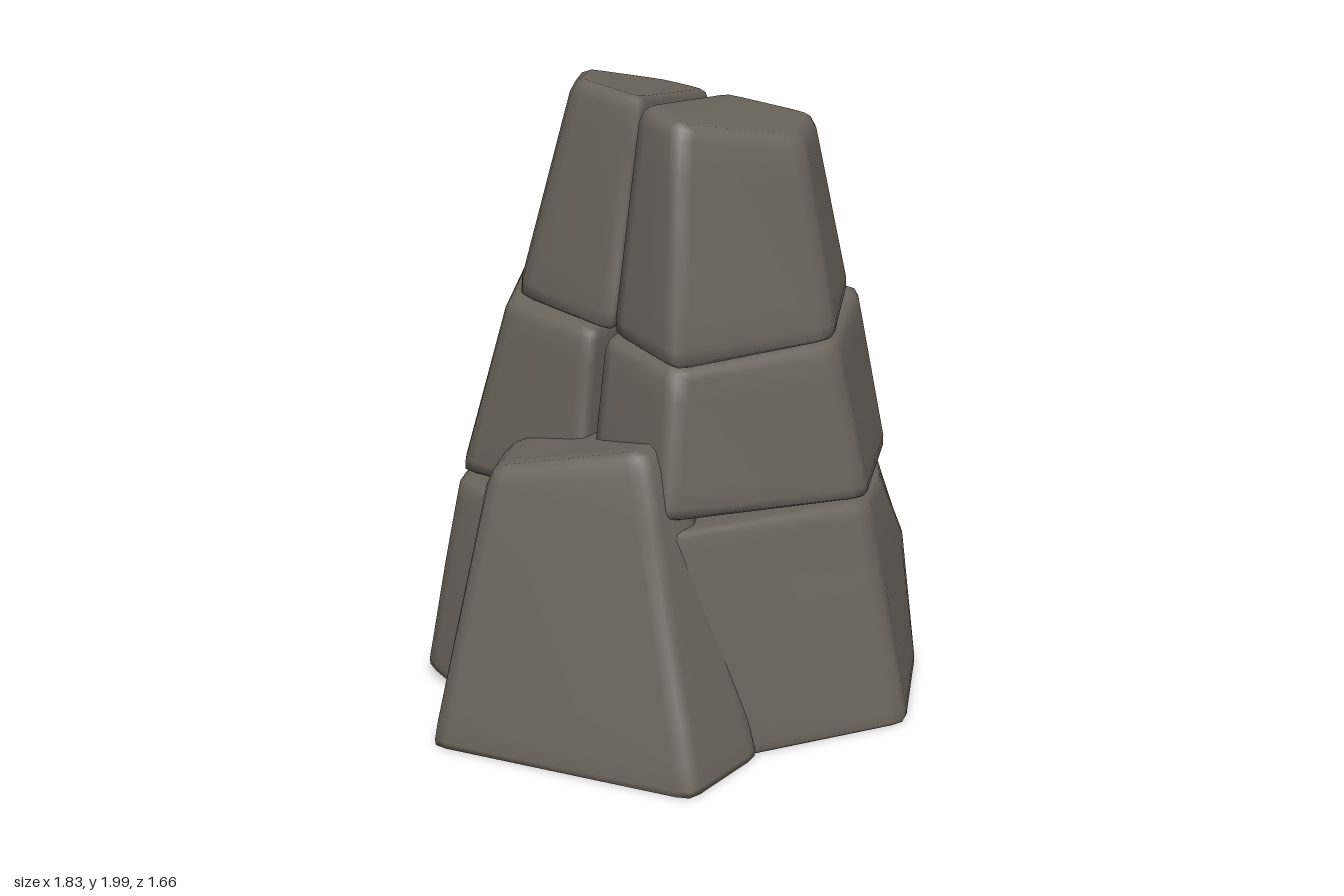
import * as THREE from 'three';

const stone = new THREE.MeshStandardMaterial({ color: 0x6b645b });
stone.name = 'grey brown stone';

const V = (p) => new THREE.Vector3(...p);

// Round every corner of a loop: two points on its edges and one just inside the tip
function roundLoop(loop, radius) {
  return loop.flatMap((p, i) => {
    const toward = (q) => p.clone().lerp(q, Math.min(0.3, radius / p.distanceTo(q)));
    const a = toward(loop[(i + loop.length - 1) % loop.length]);
    const b = toward(loop[(i + 1) % loop.length]);
    const tip = a.clone().add(b).multiplyScalar(0.5).lerp(p, 0.6);
    return [a, tip, b];
  });
}

const centreOf = (loop) =>
  loop.reduce((s, p) => s.add(p), new THREE.Vector3()).divideScalar(loop.length);

// Draw a loop in towards its centre by a distance
function inset(loop, d) {
  const c = centreOf(loop);
  return loop.map((p) => p.clone().lerp(c, d / p.distanceTo(c)));
}

// Soft-edged boulder through corner loops listed from bottom to top
function boulder(name, sections, bottomBevel = 0.03) {
  const loops = sections.map((s) => roundLoop(s.map(V), 0.05));
  const last = loops.length - 1;
  const mix = (a, b, t) => a.map((p, i) => p.clone().lerp(b[i], t));
  const low = (t) => mix(loops[0], loops[1], t);
  const high = (t) => mix(loops[last], loops[last - 1], t);
  const k = bottomBevel;
  const rows = [
    inset(low(0), k * 3), inset(low(0), k), inset(low(0.02), k * 0.3), low(0.08), low(0.2),
    ...loops.slice(1, last),
    high(0.2), high(0.07), inset(high(0.02), 0.012), inset(high(0), 0.035), inset(high(0), 0.1),
  ];

  const n = rows[0].length;
  const points = rows.flat();
  const index = [];
  for (let j = 0; j < rows.length - 1; j++) {
    for (let i = 0; i < n; i++) {
      const a = j * n + i, b = j * n + (i + 1) % n;
      index.push(a, a + n, b + n, a, b + n, b);
    }
  }
  // Closing caps
  const bottom = points.push(centreOf(rows[0])) - 1;
  const top = points.push(centreOf(rows[rows.length - 1])) - 1;
  const start = (rows.length - 1) * n;
  for (let i = 0; i < n; i++) {
    const next = (i + 1) % n;
    index.push(bottom, i, next, top, start + next, start + i);
  }
  const geometry = new THREE.BufferGeometry().setFromPoints(points);
  geometry.setIndex(index);
  geometry.computeVertexNormals();
  const mesh = new THREE.Mesh(geometry, stone);
  mesh.name = name;
  return mesh;
}

export function createModel() {
  const group = new THREE.Group();
  group.name = 'rockStack';
  group.add(
    // Bottom tier
    boulder('lowerRightBoulder', [
      [[-0.93, 0.07, -0.37], [-0.5, 0.04, -0.81], [-0.03, 0, -0.76], [-0.03, 0, 0.4], [-0.4, 0, 0.5], [-0.61, 0.03, 0.41]],
      [[-0.82, 0.45, -0.33], [-0.31, 0.45, -0.84], [-0.03, 0.42, -0.78], [-0.03, 0.4, 0.42], [-0.33, 0.4, 0.46], [-0.57, 0.4, 0.35]],
      [[-0.76, 0.66, -0.3], [-0.27, 0.66, -0.74], [-0.03, 0.66, -0.68], [-0.03, 0.69, 0.4], [-0.3, 0.68, 0.38], [-0.54, 0.67, 0.3]],
    ], 0.02),
    boulder('lowerLeftBoulder', [
      [[0, 0, -0.73], [0.55, 0, -0.69], [0.75, 0, -0.53], [0.93, 0, -0.05], [0.56, 0, 0.45], [0, 0, 0.4]],
      [[0, 0.45, -0.78], [0.56, 0.45, -0.72], [0.7, 0.45, -0.5], [0.82, 0.45, -0.07], [0.45, 0.45, 0.5], [0, 0.45, 0.4]],
      [[0, 0.67, -0.68], [0.52, 0.67, -0.65], [0.64, 0.68, -0.42], [0.76, 0.72, -0.08], [0.37, 0.73, 0.53], [0.02, 0.71, 0.4]],
    ], 0.01),
    // Middle tier
    boulder('middleRightBoulder', [
      [[-0.76, 0.68, -0.3], [-0.27, 0.68, -0.79], [-0.03, 0.69, -0.73], [-0.02, 0.72, 0.39], [-0.54, 0.69, 0.29]],
      [[-0.57, 1.35, -0.22], [-0.25, 1.36, -0.59], [-0.03, 1.29, -0.57], [-0.02, 1.25, 0.31], [-0.39, 1.28, 0.22]],
    ]),
    boulder('middleLeftBoulder', [
      [[0, 0.69, -0.74], [0.55, 0.69, -0.68], [0.76, 0.72, -0.08], [0.37, 0.77, 0.53], [0.01, 0.75, 0.39]],
      [[0.01, 1.29, -0.58], [0.5, 1.28, -0.53], [0.64, 1.22, -0.07], [0.35, 1.21, 0.43], [0.03, 1.25, 0.32]],
    ]),
    // Top tier
    boulder('upperRightBoulder', [
      [[-0.54, 1.36, -0.2], [-0.22, 1.37, -0.55], [-0.02, 1.31, -0.54], [0.04, 1.25, 0.29], [-0.36, 1.29, 0.21]],
      [[-0.36, 1.97, -0.2], [-0.17, 1.91, -0.43], [0, 1.89, -0.43], [0.07, 1.97, 0.16], [-0.2, 2, 0.11]],
    ]),
    boulder('upperLeftBoulder', [
      [[0.02, 1.31, -0.52], [0.49, 1.29, -0.48], [0.64, 1.22, -0.07], [0.34, 1.21, 0.43], [0.05, 1.25, 0.31]],
      [[0.06, 1.89, -0.42], [0.39, 1.86, -0.4], [0.51, 1.85, -0.08], [0.28, 1.93, 0.29], [0.09, 1.96, 0.21]],
    ]),
    // Leaning slab at the front
    boulder('frontSlab', [
      [[-0.41, 0, 0.46], [-0.2, 0, 0.1], [0.4, 0, 0.1], [0.63, 0, 0.39], [0.59, 0, 0.75], [-0.3, 0, 0.84]],
      [[-0.31, 0.86, 0.36], [-0.2, 0.88, 0.15], [0.2, 0.96, 0.15], [0.31, 0.99, 0.38], [0.3, 0.99, 0.55], [-0.19, 0.88, 0.64]],
    ], 0.01),
  );
  return group;
}
